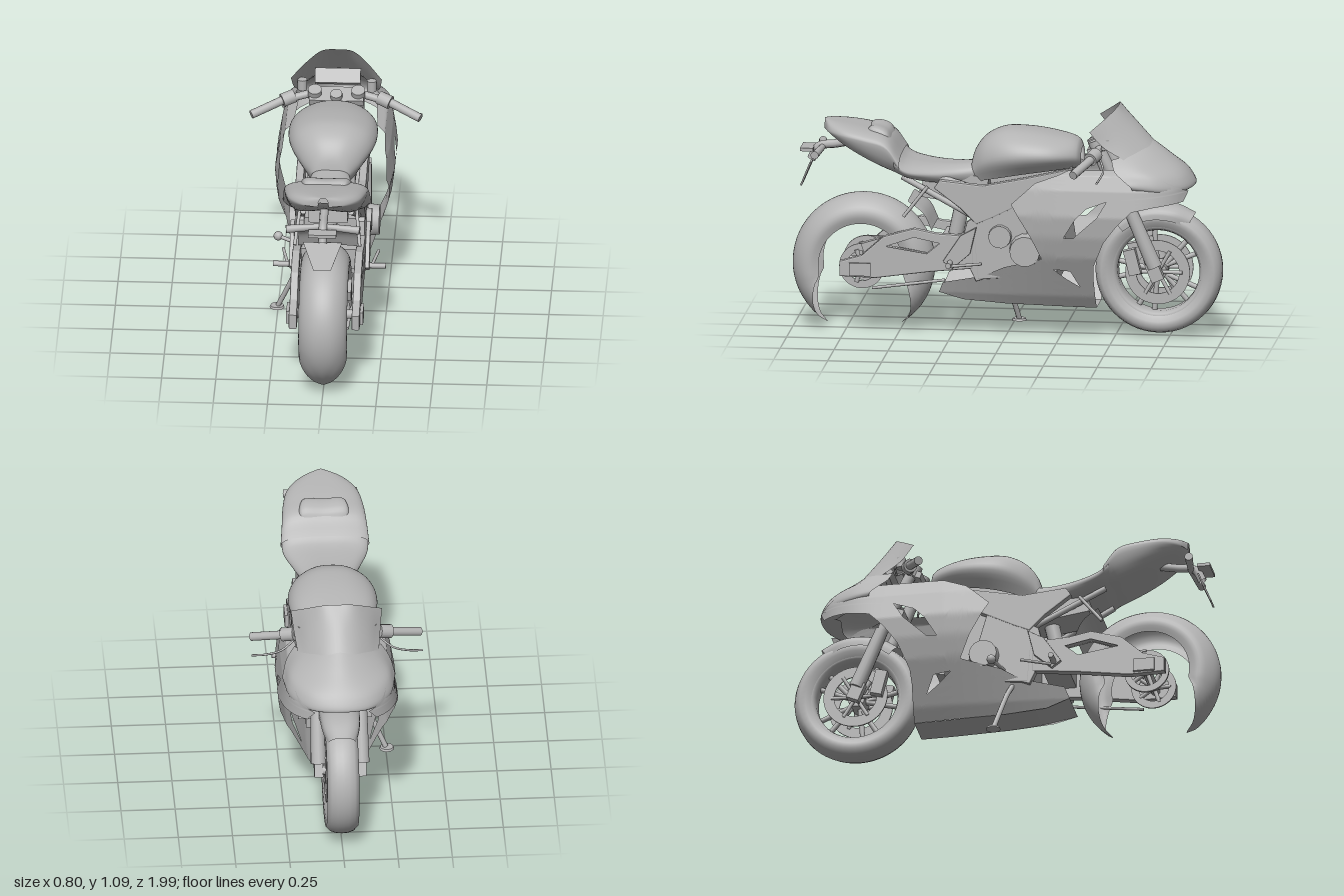
import * as THREE from 'three';
import { mergeVertices } from 'three/addons/utils/BufferGeometryUtils.js';

const grey = new THREE.MeshStandardMaterial({ color: 0xb4b4b4, side: THREE.DoubleSide });
grey.name = 'plain grey';
const V = (x, y, z) => new THREE.Vector3(x, y, z);
const PI = Math.PI;

export function createModel() {
  const model = new THREE.Group();
  const add = (name, geo, x = 0, y = 0, z = 0) => {
    const m = new THREE.Mesh(geo, grey);
    m.name = name;
    m.position.set(x, y, z);
    model.add(m);
    return m;
  };
  const sides = (fn) => { fn(1, 'right'); fn(-1, 'left'); };
  const box = (name, w, h, d, x, y, z, tilt = 0) => { add(name, new THREE.BoxGeometry(w, h, d), x, y, z).rotation.x = tilt; };
  // round bar between two points
  const rod = (name, a, b, r, r2 = r) => {
    const p = V(...a), q = V(...b), d = q.clone().sub(p);
    const m = add(name, new THREE.CylinderGeometry(r2, r, d.length(), 14), ...p.clone().add(q).multiplyScalar(0.5).toArray());
    m.quaternion.setFromUnitVectors(V(0, 1, 0), d.normalize());
  };
  const tube = (name, pts, r) => add(name, new THREE.TubeGeometry(new THREE.CatmullRomCurve3(pts.map((p) => V(...p))), 20, r, 8));
  const outline = (pts, holes = []) => {
    const s = new THREE.Shape(pts.map((p) => new THREE.Vector2(...p)));
    s.holes = holes.map((h) => new THREE.Path(h.map((p) => new THREE.Vector2(...p))));
    return s;
  };
  // flat part drawn in (z, y), with thickness along x
  const plate = (name, shape, x, t, bevel = 0) => add(name, new THREE.ExtrudeGeometry(shape, {
    depth: t, bevelEnabled: bevel > 0, bevelSize: bevel, bevelThickness: bevel, bevelSegments: 2, curveSegments: 24,
  }).rotateY(-PI / 2).translate(t / 2, 0, 0), x);
  // smooth symmetric skin: every row runs from the centre line to the +x edge
  const skin = (name, rows, nu = 24, nv = 24) => {
    const curves = rows.map((r) => new THREE.CatmullRomCurve3([
      ...r.slice(1).reverse().map((p) => V(-p[0], p[1], p[2])), ...r.map((p) => V(...p))]));
    const pos = [], idx = [];
    for (let i = 0; i <= nu; i++) {
      const across = new THREE.CatmullRomCurve3(curves.map((c) => c.getPoint(i / nu)));
      for (let j = 0; j <= nv; j++) {
        pos.push(...across.getPoint(j / nv).toArray());
        const a = i * (nv + 1) + j, b = a + nv + 1;
        if (i < nu && j < nv) idx.push(a, a + 1, b, b, a + 1, b + 1);
      }
    }
    const g = new THREE.BufferGeometry();
    g.setAttribute('position', new THREE.Float32BufferAttribute(pos, 3));
    g.setIndex(idx);
    g.computeVertexNormals();
    return add(name, g);
  };
  // panel drawn in (z, y), subdivided and bulged out to x = f(z, y)
  const panel = (name, shape, f) => {
    let tris = [];
    const p = new THREE.ShapeGeometry(shape).toNonIndexed().attributes.position;
    for (let i = 0; i < p.count; i += 3) tris.push([0, 1, 2].map((k) => V(0, p.getY(i + k), p.getX(i + k))));
    for (let n = 0; n < 4; n++) tris = tris.flatMap(([a, b, c]) => {
      const [d, e, g] = [[a, b], [b, c], [c, a]].map(([s, t]) => s.clone().lerp(t, 0.5));
      return [[a, d, g], [d, b, e], [g, e, c], [d, e, g]];
    });
    const pos = tris.flat().flatMap((v) => [f(v.z, v.y), v.y, v.z]);
    let g = new THREE.BufferGeometry();
    g.setAttribute('position', new THREE.Float32BufferAttribute(pos, 3));
    g = mergeVertices(g, 1e-5);
    g.computeVertexNormals();
    return add(name, g);
  };
  const lookup = (table, v) => {
    let i = 0;
    while (i < table.length - 2 && v > table[i + 1][0]) i++;
    const [a, b] = [table[i], table[i + 1]];
    return THREE.MathUtils.lerp(a[1], b[1], THREE.MathUtils.clamp((v - a[0]) / (b[0] - a[0]), 0, 1));
  };
  const ring = (R, r, z, y) => {
    const s = new THREE.Shape().absarc(z, y, R, 0, 2 * PI);
    s.holes.push(new THREE.Path().absarc(z, y, r, 0, 2 * PI));
    return s;
  };
  const lathe = (pts) => new THREE.LatheGeometry(pts.map((p) => new THREE.Vector2(...p)), 56).rotateZ(PI / 2);

  // front wheel
  const FY = 0.31, FZ = -0.70;
  const half = [[0.21, 0.055], [0.235, 0.07], [0.262, 0.074], [0.283, 0.054], [0.293, 0.027], [0.295, 0]];
  add('frontTyre', lathe([...half.map(([r, w]) => [r, -w]), ...half.slice(0, -1).reverse()]), 0, FY, FZ);
  add('frontRim', lathe([[0.215, -0.055], [0.2, -0.055], [0.19, -0.03], [0.19, 0.03], [0.2, 0.055], [0.215, 0.055]]), 0, FY, FZ);
  for (let i = 0; i < 10; i++) {
    const b = Math.floor(i / 2) * PI * 0.4, a = b + (i % 2 ? 0.2 : -0.2);
    rod('frontSpoke', [0, FY + 0.03 * Math.sin(b), FZ + 0.03 * Math.cos(b)], [0, FY + 0.195 * Math.sin(a), FZ + 0.195 * Math.cos(a)], 0.012);
  }
  rod('frontAxle', [-0.12, FY, FZ], [0.12, FY, FZ], 0.022);
  rod('frontHub', [-0.05, FY, FZ], [0.05, FY, FZ], 0.04);
  sides((s, n) => {
    plate(n + 'FrontDisc', ring(0.15, 0.1, FZ, FY), s * 0.066, 0.007);
    for (let i = 0; i < 6; i++) {
      const a = i * PI / 3;
      rod(n + 'DiscArm', [s * 0.06, FY, FZ], [s * 0.066, FY + 0.115 * Math.sin(a), FZ + 0.115 * Math.cos(a)], 0.009);
    }
    box(n + 'Caliper', 0.045, 0.12, 0.055, s * 0.085, 0.36, -0.585, 0.25);
    // fork leg
    rod(n + 'ForkUpper', [s * 0.1, 0.9, -0.43], [s * 0.1, 0.55, -0.60], 0.027);
    rod(n + 'ForkLower', [s * 0.1, 0.62, -0.57], [s * 0.1, 0.34, -0.69], 0.03, 0.036);
    box(n + 'ForkFoot', 0.04, 0.09, 0.06, s * 0.1, 0.32, -0.69, 0.4);
  });
  // front mudguard arched over the tyre, with a pointed lip
  skin('frontMudguard', [[58, 0.06], [75, 0.08], [95, 0.088], [115, 0.09], [130, 0.085]].map(([d, w]) => {
    const a = d * PI / 180;
    const at = (x, r) => [x, FY + r * Math.sin(a), FZ - r * Math.cos(a)];
    return [at(0, 0.318), at(w * 0.6, 0.311), at(w, 0.285), at(w * 1.05, 0.25)];
  }), 20, 24);

  // rear tyre, worn open at the bottom and tapering to a point at each end
  const RY = 0.31, RZ = 0.67, rows = [];
  const tread = new THREE.CatmullRomCurve3([V(0, 0.33, 0), V(0.055, 0.318, 0), V(0.1, 0.278, 0), V(0.112, 0.24, 0), V(0.1, 0.2, 0)]);
  for (let d = -59; d <= 238; d += 9) {
    const k = Math.max(0.02, Math.min(1, (d + 59) / 46, (238 - d) / 44)), a = d * PI / 180;
    rows.push([0, 0.25, 0.5, 0.75, 1].map((u) => {
      const p = tread.getPoint(u * k);
      return [p.x, RY + p.y * Math.sin(a), RZ + p.y * Math.cos(a)];
    }));
  }
  skin('rearTyre', rows, 24, 80);
  // rear hub, brake disc and sprocket
  rod('rearAxle', [-0.17, RY, RZ], [0.17, RY, RZ], 0.022);
  plate('rearDisc', ring(0.105, 0.07, RZ, RY), 0.085, 0.008);
  plate('sprocket', ring(0.105, 0.075, RZ, RY), -0.095, 0.012);
  for (let i = 0; i < 5; i++) {
    const a = i * PI * 0.4;
    sides((s, n) => rod(n + 'HubArm', [s * 0.088, RY, RZ], [s * 0.088, RY + 0.08 * Math.sin(a), RZ + 0.08 * Math.cos(a)], 0.01));
  }
  box('rearCaliper', 0.04, 0.05, 0.09, 0.1, 0.41, 0.62, 0.3);
  rod('brakeRod', [0.1, 0.21, 0.62], [0.12, 0.26, 0.28], 0.007);
  sides((s, n) => {
    plate(n + 'Swingarm', outline(
      [[0.15, 0.47], [0.32, 0.48], [0.42, 0.5], [0.56, 0.46], [0.66, 0.37], [0.76, 0.34], [0.76, 0.28], [0.6, 0.275], [0.35, 0.31], [0.15, 0.33]],
      [[[0.3, 0.44], [0.42, 0.465], [0.55, 0.42], [0.36, 0.39]]]), s * 0.145, 0.025, 0.006);
    box(n + 'AxleBlock', 0.035, 0.06, 0.1, s * 0.16, RY, RZ);
    plate(n + 'ChainRun', outline([[0.1, 0.4], [0.67, 0.415], [0.67, 0.405], [0.1, 0.385]]), -0.1 + s * 0.006, 0.006);
  });
  box('swingarmBridge', 0.27, 0.1, 0.12, 0, 0.41, 0.24);
  skin('rearHugger', [[0.34, 0.5], [0.38, 0.58], [0.45, 0.635]].map(([z, y]) => [[0, y, z], [0.1, y, z], [0.14, y - 0.005, z]]), 12, 10);

  // side fairing with a slanted open vent and an inward top lip
  const byHeight = [[0.14, 0.09], [0.2, 0.132], [0.3, 0.182], [0.4, 0.232], [0.5, 0.263], [0.6, 0.276], [0.72, 0.256], [0.79, 0.23], [0.815, 0.17]];
  const flank = (z, y) => {
    const t = Math.max(0, (-z - 0.52) / 0.36);
    return lookup(byHeight, y) * Math.sqrt(Math.max(0.02, 1 - t ** 3)) * lookup([[-0.25, 1], [0, 0.92], [0.32, 0.78]], z);
  };
  sides((s, n) => {
    panel(n + 'Fairing', outline([[-0.15, 0.75], [-0.3, 0.805], [-0.6, 0.812], [-0.72, 0.78], [-0.85, 0.71], [-0.83, 0.665], [-0.7, 0.65],
      [-0.6, 0.63], [-0.53, 0.56], [-0.47, 0.48], [-0.42, 0.36], [-0.415, 0.3], [-0.42, 0.14], [0, 0.15], [0.2, 0.165], [0.31, 0.2], [0.29, 0.25], [0.1, 0.29],
      [0, 0.34], [-0.18, 0.39], [-0.13, 0.5], [-0.1, 0.55], [-0.04, 0.65]],
    [[[-0.285, 0.5], [-0.34, 0.59], [-0.39, 0.64], [-0.485, 0.675], [-0.44, 0.6], [-0.33, 0.5]], [[-0.23, 0.34], [-0.31, 0.33], [-0.35, 0.25], [-0.29, 0.29]]]),
    (z, y) => s * flank(z, y));
    // knee panel and frame spar beside the tank
    plate(n + 'FrameSpar', outline([[-0.31, 0.8], [-0.1, 0.75], [0.1, 0.71], [0.3, 0.73], [0.32, 0.7], [0.2, 0.61], [0.13, 0.54], [0.06, 0.57], [-0.1, 0.65], [-0.28, 0.72]]), s * 0.145, 0.025, 0.006);
    plate(n + 'PivotPlate', outline([[0.08, 0.6], [0.17, 0.54], [0.2, 0.42], [0.13, 0.27], [0.04, 0.3]]), s * 0.14, 0.03, 0.005);
    // seat rails
    rod(n + 'UpperRail', [s * 0.12, 0.68, 0.1], [s * 0.1, 0.84, 0.64], 0.016);
    rod(n + 'LowerRail', [s * 0.13, 0.56, 0.14], [s * 0.11, 0.74, 0.48], 0.014);
    rod(n + 'PassengerBracket', [s * 0.13, 0.7, 0.36], [s * 0.15, 0.56, 0.47], 0.008);
    // rider foot rests
    plate(n + 'FootrestHanger', outline([[0.13, 0.52], [0.2, 0.48], [0.28, 0.36], [0.24, 0.33], [0.16, 0.4]]), s * 0.175, 0.014, 0.003);
    rod(n + 'Footrest', [s * 0.18, 0.355, 0.25], [s * 0.26, 0.355, 0.25], 0.013);
    rod(n + 'FootLever', [s * 0.19, 0.34, 0.24], [s * 0.22, 0.36, 0.1], 0.007);
    // handlebar, grip, switches and lever
    rod(n + 'Handlebar', [s * 0.1, 0.9, -0.44], [s * 0.25, 0.87, -0.41], 0.018);
    rod(n + 'Grip', [s * 0.24, 0.872, -0.415], [s * 0.39, 0.824, -0.345], 0.02);
    rod(n + 'Switchgear', [s * 0.195, 0.885, -0.43], [s * 0.25, 0.869, -0.408], 0.032);
    rod(n + 'Reservoir', [s * 0.16, 0.9, -0.47], [s * 0.16, 0.95, -0.47], 0.022);
    tube(n + 'Lever', [[s * 0.2, 0.86, -0.45], [s * 0.26, 0.82, -0.47], [s * 0.33, 0.795, -0.46], [s * 0.395, 0.79, -0.455]], 0.005);
    rod(n + 'ForkCap', [s * 0.1, 0.88, -0.43], [s * 0.1, 0.93, -0.41], 0.032);
    // rear indicators
    rod(n + 'Indicator', [0, 0.85, 0.86], [s * 0.17, 0.842, 0.88], 0.014, 0.019);
  });

  // engine, covers, radiator and belly
  box('crankcase', 0.26, 0.28, 0.38, 0, 0.4, -0.05);
  box('cylinderBlock', 0.25, 0.22, 0.18, 0, 0.6, -0.12, -0.3);
  box('radiator', 0.34, 0.32, 0.04, 0, 0.5, -0.26, 0.15);
  box('airbox', 0.22, 0.14, 0.38, 0, 0.75, -0.12);
  box('batteryBox', 0.18, 0.14, 0.3, 0, 0.69, 0.24, -0.15);
  rod('clutchCover', [0.1, 0.42, -0.1], [0.215, 0.42, -0.1], 0.085, 0.07);
  rod('crankCover', [0.1, 0.48, 0.02], [0.185, 0.48, 0.02], 0.06, 0.052);
  rod('generatorCover', [-0.1, 0.42, -0.08], [-0.2, 0.42, -0.08], 0.08, 0.065);
  sides((s, n) => plate(n + 'EngineCover', outline([[0.1, 0.62], [-0.06, 0.64], [-0.1, 0.5], [-0.14, 0.3], [0.12, 0.28], [0.14, 0.5]]), s * 0.145, 0.02, 0.006));
  rod('shock', [0, 0.38, 0.26], [0, 0.66, 0.2], 0.035);
  skin('bellyPan', [-0.42, -0.2, 0.1, 0.31].map((z, i) => {
    const y = [0.14, 0.145, 0.16, 0.2][i];
    return [[0, y, z], [0.05, y, z], [flank(z, y), y, z]];
  }), 8, 10);

  // fuel tank
  skin('fuelTank', [[-0.345, 0.88, 0.08, 0.8], [-0.325, 0.915, 0.125, 0.8], [-0.22, 0.945, 0.19, 0.79], [-0.08, 0.964, 0.205, 0.77],
    [0.02, 0.962, 0.185, 0.75], [0.1, 0.925, 0.14, 0.73], [0.15, 0.86, 0.09, 0.71], [0.175, 0.76, 0.065, 0.7]].map(([z, t, w, b]) => {
    const h = t - b;
    return [[0, t, z], [w * 0.5, t - h * 0.06, z], [w * 0.88, t - h * 0.28, z], [w, t - h * 0.58, z], [w * 0.72, b, z]];
  }), 36, 36);

  // rider seat, tail cowl and pillion pad
  const deck = (list) => list.map(([z, t, w, b]) => [[0, t, z], [w * 0.55, t - 0.003, z], [w * 0.9, t - 0.02, z], [w, t - 0.045, z], [w * 0.75, b, z], [0, b, z]]);
  skin('riderSeat', deck([[0.14, 0.8, 0.085, 0.71], [0.24, 0.795, 0.11, 0.71], [0.36, 0.8, 0.155, 0.72], [0.46, 0.82, 0.195, 0.745], [0.51, 0.86, 0.2, 0.77]]), 40, 24);
  skin('tailCowl', deck([[0.485, 0.845, 0.205, 0.76], [0.55, 0.93, 0.195, 0.785], [0.65, 0.958, 0.185, 0.83], [0.75, 0.975, 0.16, 0.885], [0.82, 0.984, 0.1, 0.93], [0.85, 0.987, 0.025, 0.965]]), 40, 28);
  skin('pillionPad', [[0.53, 0.9, 0.1], [0.555, 0.945, 0.12], [0.62, 0.964, 0.11], [0.645, 0.95, 0.1]].map(([z, y, w]) => [[0, y, z], [w * 0.85, y, z], [w, y - 0.03, z]]), 20, 12);
  // number plate holder
  tube('plateArm', [[0, 0.88, 0.72], [0, 0.865, 0.8], [0, 0.85, 0.88], [0, 0.79, 0.915]], 0.02);
  const holder = add('numberPlate', new THREE.ExtrudeGeometry(outline([[-0.09, 0.065], [0.09, 0.065], [0.04, -0.065], [-0.04, -0.065]]), { depth: 0.008, bevelEnabled: false }), 0, 0.73, 0.93);
  holder.rotation.x = -0.4;
  box('plateLamp', 0.13, 0.015, 0.06, 0, 0.845, 0.93);

  // nose cowl and windscreen
  skin('windscreen', [
    [[0, 1.085, -0.515], [0.07, 1.08, -0.51], [0.135, 1.045, -0.47], [0.21, 0.99, -0.4]],
    [[0, 1.01, -0.59], [0.07, 1, -0.575], [0.14, 0.965, -0.53], [0.2, 0.92, -0.46]],
    [[0, 0.91, -0.68], [0.07, 0.9, -0.665], [0.135, 0.875, -0.62], [0.185, 0.85, -0.57]]], 24, 14);
  skin('noseCowl', [
    [[0, 0.925, -0.665], [0.08, 0.905, -0.65], [0.15, 0.88, -0.59], [0.2, 0.86, -0.5]],
    [[0, 0.86, -0.75], [0.11, 0.845, -0.72], [0.2, 0.83, -0.63], [0.235, 0.81, -0.52]],
    [[0, 0.78, -0.84], [0.135, 0.775, -0.81], [0.225, 0.78, -0.7], [0.252, 0.775, -0.56]],
    [[0, 0.72, -0.87], [0.135, 0.715, -0.835], [0.228, 0.72, -0.73], [0.258, 0.74, -0.6]],
    [[0, 0.73, -0.78], [0.09, 0.7, -0.78], [0.17, 0.69, -0.72], [0.22, 0.7, -0.6]]], 30, 24);
  // cockpit
  box('topYoke', 0.25, 0.03, 0.09, 0, 0.89, -0.425, 0.35);
  box('lowerYoke', 0.25, 0.04, 0.09, 0, 0.7, -0.51, 0.35);
  box('instrumentPanel', 0.21, 0.07, 0.03, 0, 0.93, -0.55, -0.7);
  rod('steeringStem', [0, 0.92, -0.39], [0, 0.66, -0.5], 0.028);

  // side stand and shift knob
  tube('sideStand', [[-0.13, 0.29, 0.06], [-0.16, 0.22, 0.03], [-0.21, 0.1, 0], [-0.25, 0.01, -0.02]], 0.012);
  add('standFoot', new THREE.CylinderGeometry(0.03, 0.034, 0.01, 16), -0.255, 0.005, -0.02);
  rod('shiftArm', [-0.14, 0.34, 0.02], [-0.25, 0.36, -0.03], 0.009);
  add('shiftKnob', new THREE.SphereGeometry(0.022, 12, 8), -0.25, 0.36, -0.03);

  return model;
}
